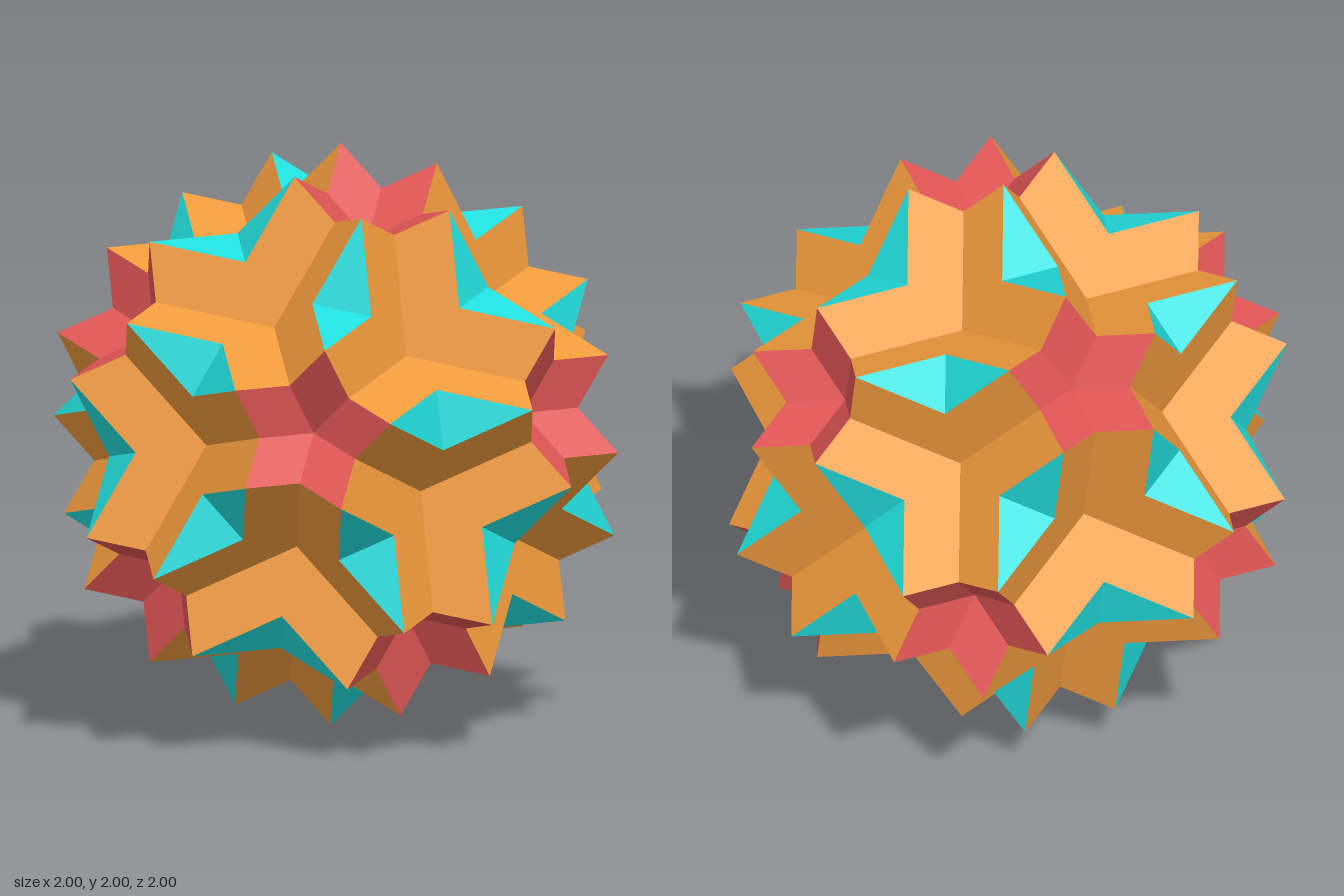
import * as THREE from 'three';

const PHI = (1 + Math.sqrt(5)) / 2;

// Flat star polygon with n points; inner is the notch radius as a fraction of r
function starGeometry(n, r, inner) {
  const pts = [];
  for (let i = 0; i < 2 * n; i++) {
    const a = (i * Math.PI) / n, s = i % 2 ? r * inner : r;
    pts.push(new THREE.Vector2(s * Math.cos(a), s * Math.sin(a)));
  }
  return new THREE.ShapeGeometry(new THREE.Shape(pts));
}

export function createModel() {
  const group = new THREE.Group();

  // Five-fold axes (icosahedron corners) and three-fold axes (its face centres)
  const five = [];
  for (const a of [-1, 1]) for (const b of [-PHI, PHI]) {
    five.push(new THREE.Vector3(0, a, b), new THREE.Vector3(a, b, 0), new THREE.Vector3(b, 0, a));
  }
  five.forEach(v => v.normalize());
  const near = (u, v) => Math.abs(u.dot(v) - 1 / Math.sqrt(5)) < 0.01;
  const three = [];
  for (let i = 0; i < 12; i++) for (let j = i + 1; j < 12; j++) for (let k = j + 1; k < 12; k++) {
    const [a, b, c] = [five[i], five[j], five[k]];
    if (near(a, b) && near(b, c) && near(a, c)) three.push(a.clone().add(b).add(c).normalize());
  }

  // The 60 outer tips lie along the icosahedron edges
  const cut = 1 / (2 + PHI);
  const tips = [];
  for (const a of five) for (const b of five) {
    if (near(a, b)) tips.push(a.clone().lerp(b, cut).normalize());
  }

  // Turn the solid so that one tip points along +z and another lies in the xz plane
  const p = new THREE.Vector3(0, 1, PHI).lerp(new THREE.Vector3(-PHI, 0, 1), cut).normalize();
  const q = new THREE.Vector3(p.z, p.x, p.y);
  const xAxis = q.addScaledVector(p, -q.dot(p)).normalize();
  const turn = new THREE.Matrix4().makeBasis(xAxis, p.clone().cross(xAxis), p).transpose();
  [...five, ...three, ...tips].forEach(v => v.applyMatrix4(turn));

  // One flat star per axis, passing through the tips at the given distance from the centre
  function addFaces(name, axes, distance, n, inner, color) {
    const part = new THREE.Group();
    part.name = name;
    const geometry = starGeometry(n, Math.sqrt(1 - distance * distance), inner);
    const material = new THREE.MeshStandardMaterial({ color, side: THREE.DoubleSide, flatShading: true });
    for (const axis of axes) {
      const tip = tips.find(t => Math.abs(t.dot(axis) - distance) < 0.004);
      const u = tip.clone().addScaledVector(axis, -tip.dot(axis)).normalize();
      const face = new THREE.Mesh(geometry, material);
      face.name = name + 'Face';
      face.quaternion.setFromRotationMatrix(
        new THREE.Matrix4().makeBasis(u, axis.clone().cross(u), axis));
      face.position.copy(axis).multiplyScalar(distance);
      part.add(face);
    }
    group.add(part);
  }

  // Distances of the three kinds of face plane
  const edge = 2 / Math.sqrt(11 - 4 * Math.sqrt(5));
  const height = (n, m) => Math.sqrt(1 - (edge / (2 * Math.sin((m * Math.PI) / n))) ** 2);
  const notch = (n, m) => Math.cos((m * Math.PI) / n) / Math.cos(((m - 1) * Math.PI) / n);

  addFaces('triangle', three, height(3, 1), 3, notch(3, 1), 0xe05555);
  addFaces('fivePointStar', five, height(5, 2), 5, notch(5, 2), 0x22dddd);
  addFaces('tenPointStar', five, height(10, 3), 10, notch(10, 3), 0xf09a3c);

  // Stand on the ground
  group.position.y = -Math.min(...tips.map(t => t.y));
  return group;
}
